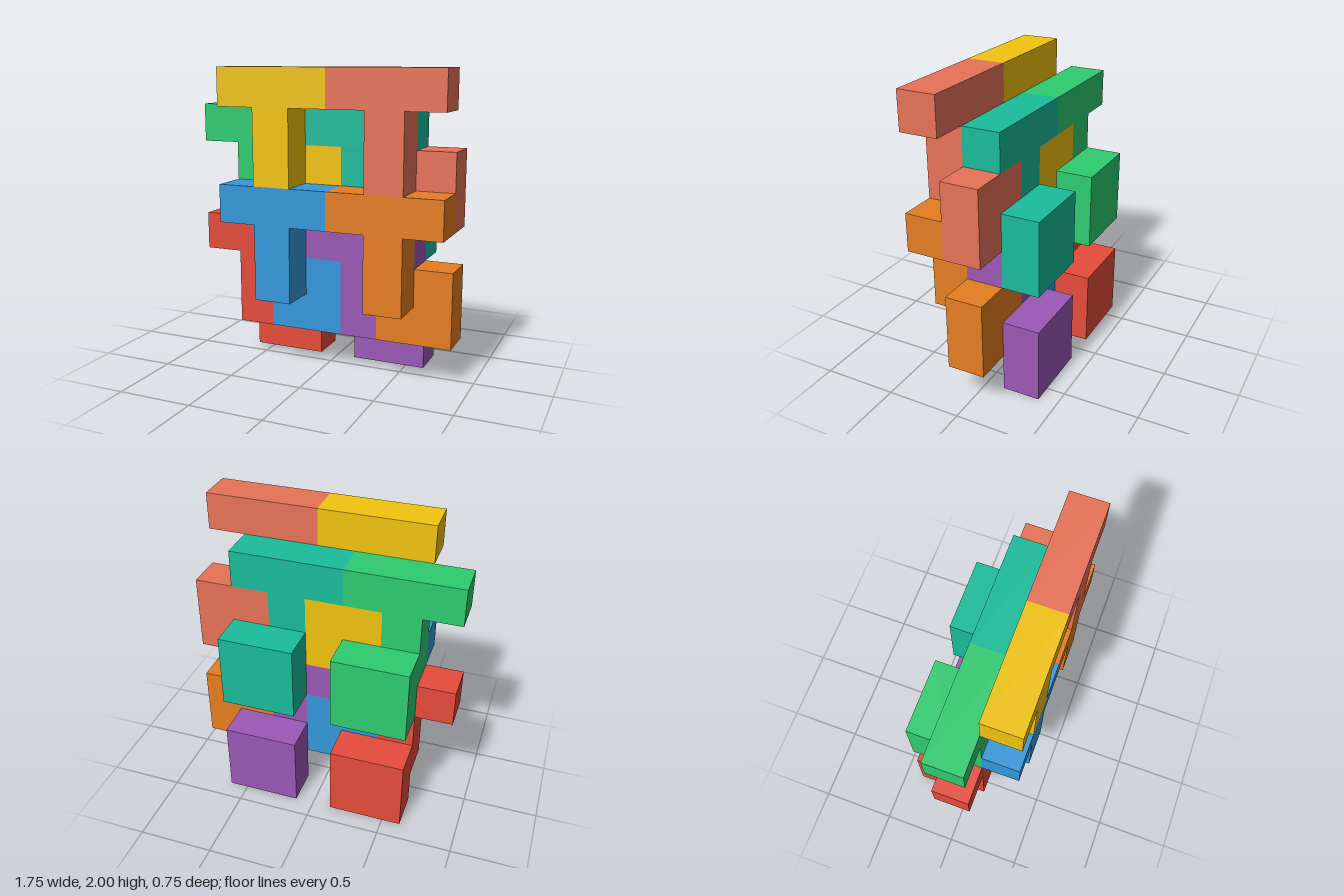
import * as THREE from 'three';

const U = 0.25; // edge of one grid cell

// T-shaped plate: three cells wide on top, a two-cell stem below (origin at its lower left)
function tGeometry() {
  const shape = new THREE.Shape(
    [[0, 2], [1, 2], [1, 0], [2, 0], [2, 2], [3, 2], [3, 3], [0, 3]]
      .map(([x, y]) => new THREE.Vector2(x * U, y * U)));
  return new THREE.ExtrudeGeometry(shape, { depth: U, bevelEnabled: false });
}

// One interlocking piece: T plate in front, a two-by-two block fixed behind its stem
function makePiece(name, color, plateGeo, blockGeo) {
  const material = new THREE.MeshStandardMaterial({ color, flatShading: true });
  const piece = new THREE.Group();
  piece.name = name;
  const plate = new THREE.Mesh(plateGeo, material);
  plate.name = name + 'Plate';
  const block = new THREE.Mesh(blockGeo, material);
  block.name = name + 'Block';
  block.position.set(2 * U, 0, -U / 2);
  piece.add(plate, block);
  return piece;
}

export function createModel() {
  const group = new THREE.Group();
  group.name = 'interlockingPieces';
  const plateGeo = tGeometry();
  const blockGeo = new THREE.BoxGeometry(2 * U, 2 * U, U);

  // name, colour, left column, bottom row of the plate, z of the plate's rear face
  const pieces = [
    ['yellowPiece', 0xf1c40f, 1, 5, 0.125],
    ['coralPiece', 0xe87358, 4, 5, 0.125],
    ['bluePiece', 0x3498db, 1, 2, 0.125],
    ['orangePiece', 0xe67e22, 4, 2, 0.125],
    ['greenPiece', 0x2ecc71, 0, 4, -0.125],
    ['tealPiece', 0x1abc9c, 3, 4, -0.125],
    ['redPiece', 0xe74c3c, 0, 1, -0.125],
    ['purplePiece', 0x9b59b6, 3, 1, -0.125],
  ];
  for (const [name, color, col, row, z] of pieces) {
    const piece = makePiece(name, color, plateGeo, blockGeo);
    piece.position.set(-0.875 + col * U, row * U, z);
    group.add(piece);
  }
  return group;
}
